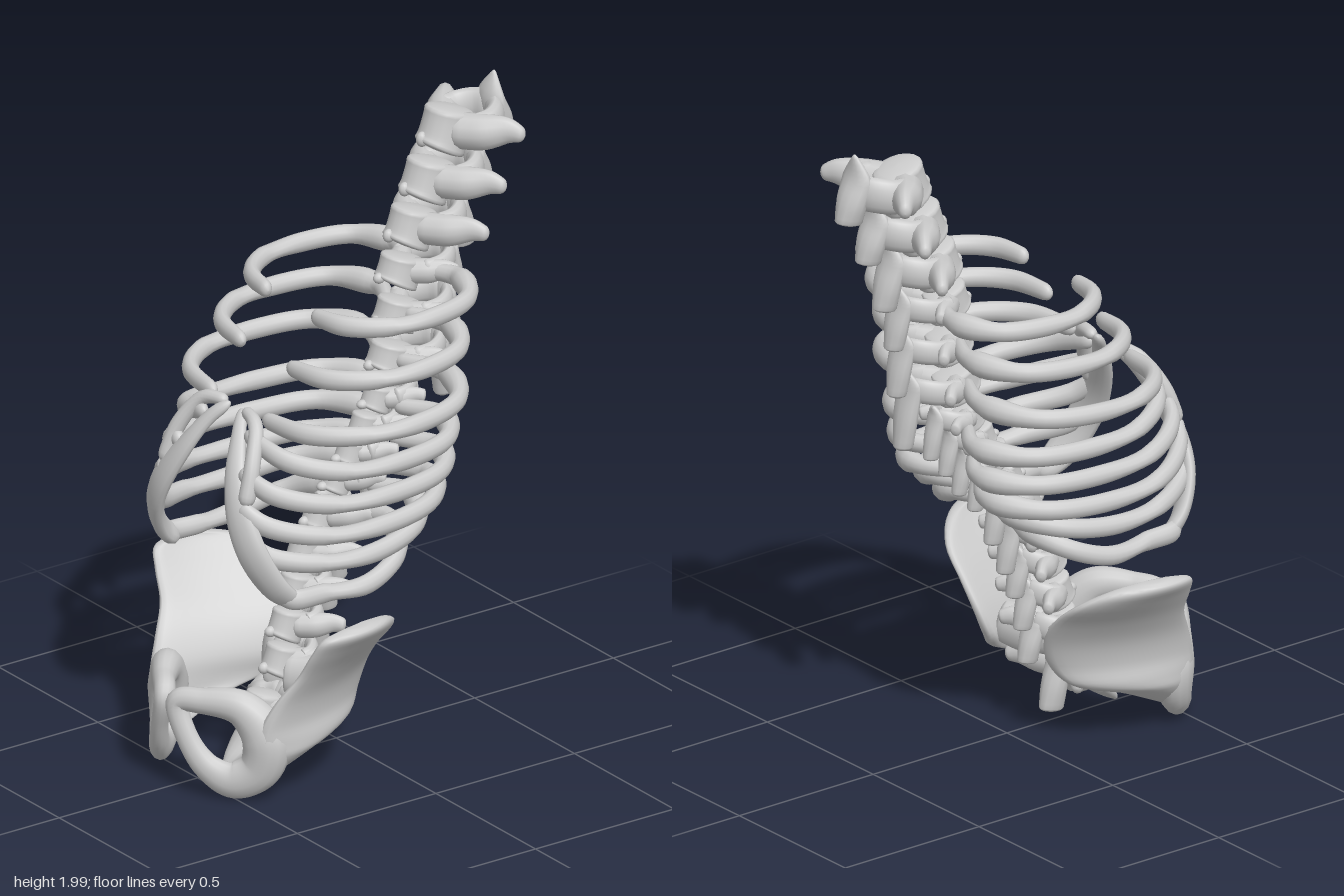
import * as THREE from 'three';

const V = (x, y, z) => new THREE.Vector3(x, y, z);
const UP = V(0, 1, 0), FRONT = V(0, 0, 1);
const bone = new THREE.MeshStandardMaterial({ color: 0xcccccc });
bone.name = 'bone grey';

// Skin a list of rings (equal point counts) and turn every face outwards
function skin(rings, closed = false) {
  const k = rings[0].length, n = rings.length, pos = [], idx = [];
  rings.forEach(r => r.forEach(p => pos.push(p.x, p.y, p.z)));
  for (let i = 0; i < (closed ? n : n - 1); i++) {
    for (let j = 0; j < k; j++) {
      const a = i * k + j, b = i * k + (j + 1) % k;
      const c = ((i + 1) % n) * k + j, d = ((i + 1) % n) * k + (j + 1) % k;
      idx.push(a, b, c, b, d, c);
    }
  }
  if (!closed) {
    for (const [start, flip] of [[0, true], [(n - 1) * k, false]]) {
      for (let j = 1; j < k - 1; j++) {
        idx.push(start, start + (flip ? j + 1 : j), start + (flip ? j : j + 1));
      }
    }
  }
  const at = i => V(pos[i * 3], pos[i * 3 + 1], pos[i * 3 + 2]);
  let volume = 0;
  for (let i = 0; i < idx.length; i += 3) volume += at(idx[i]).dot(at(idx[i + 1]).cross(at(idx[i + 2])));
  if (volume < 0) idx.reverse();
  const g = new THREE.BufferGeometry();
  g.setAttribute('position', new THREE.Float32BufferAttribute(pos, 3));
  g.setIndex(idx);
  g.computeVertexNormals();
  return g;
}

// Smooth limb through rows [x, y, z, sideways radius, radius towards "out"], with rounded ends
function limb(rows, { out = UP, closed = false, n = 24, k = 12, cap = 0.08 } = {}) {
  const path = new THREE.CatmullRomCurve3(rows.map(r => V(r[0], r[1], r[2])), closed);
  const size = new THREE.CatmullRomCurve3(rows.map(r => V(r[3], r[4] ?? r[3], 0)), closed);
  const steps = [];
  if (closed) for (let i = 0; i < n; i++) steps.push(i / n);
  else {
    const ends = [0.004, 0.1, 0.3, 0.6];
    ends.forEach(e => steps.push(e * cap));
    for (let i = 0; i <= n; i++) steps.push(cap + (1 - 2 * cap) * i / n);
    ends.reverse().forEach(e => steps.push(1 - e * cap));
  }
  return skin(steps.map(t => {
    const c = path.getPoint(t), dir = path.getTangent(t), s = size.getPoint(t);
    const side = dir.clone().cross(out).normalize(), up = side.clone().cross(dir).normalize();
    const e = closed ? 1 : Math.min(1, t / cap, (1 - t) / cap);
    const f = Math.sqrt(1 - (1 - e) ** 2);
    return Array.from({ length: k }, (_, j) => {
      const a = j / k * Math.PI * 2;
      return c.clone().addScaledVector(side, s.x * f * Math.cos(a)).addScaledVector(up, s.y * f * Math.sin(a));
    });
  }), closed);
}

function add(parent, name, geometry) {
  const m = new THREE.Mesh(geometry, bone);
  m.name = name;
  parent.add(m);
}
const mirror = (rows, s) => rows.map(([x, ...rest]) => [x * s, ...rest]);

// One vertebra: body, front knob, side wings, arch and rear spine
function vertebra([y, z, h, w, wing, top, bottom, back]) {
  const g = new THREE.Group(), k = h / 0.065, sweep = 0.5 + 0.5 * k;
  g.name = 'vertebra';
  g.position.set(0, y, z);
  const d = w * 1.12;
  add(g, 'vertebraBody', limb([
    [0, -h, 0.025 * k, w * 0.98, d], [0, -h * 0.5, 0.008 * k, w * 0.94, d * 0.94],
    [0, h * 0.4, -0.012 * k, w * 0.92, d * 0.92], [0, h, -0.024 * k, w * 0.95, d * 0.95],
  ], { out: FRONT, n: 10, k: 18, cap: 0.12 }));
  const knob = new THREE.SphereGeometry(0.02, 12, 8);
  knob.scale(0.8, 1.2 * k, 1).translate(0, -h * 0.25, d * 0.9 + 0.004);
  add(g, 'frontKnob', knob);
  for (const s of [1, -1]) {
    add(g, 'sideWing', limb(mirror([
      [w * 0.3, 0, -0.01, 0.055 * k, 0.056 * k], [wing * 0.5, 0.005 * k, -0.066 * sweep, 0.05 * k, 0.056 * k],
      [wing * 0.78, 0.016 * k, -0.115 * sweep, 0.03 * k, 0.042 * k], [wing, 0.005, -0.148 * sweep, 0.016, 0.02],
    ], s), { n: 14 }));
    // Arch from the wing root round the canal to the rear spine
    add(g, 'archSide', limb(mirror([
      [w * 1.1, 0.005, -0.05 * k, 0.035 * k, 0.055 * k], [w * 1.1, 0.01, back * 0.6, 0.03 * k, 0.055 * k],
      [w * 0.7, 0.018, back * 0.86, 0.028 * k, 0.056 * k], [0.006, 0.02, back, 0.028 * k, 0.058 * k],
    ], s), { n: 10 }));
  }
  const m = top * 0.42;
  add(g, 'rearSpine', limb([
    [0, top, back - 0.01, 0.004, 0.005], [0, m, back, w * 0.78, 0.03 * k],
    [0, (m + bottom) / 2, back - 0.02 * k, w * 0.7, 0.042 * k], [0, bottom, back - 0.034 * k, w * 0.42, 0.045 * k],
  ], { out: FRONT, n: 14, cap: 0.05 }));
  return g;
}

// Rib from the spine round to the front; y is given at the back, side and front
const COURSE = [[0, 0.1], [0.47, -0.01], [0.86, 0.11], [1, 0.41], [0.95, 0.73]];
function rib([yb, ym, yf, zb, zf, wide, xf], s) {
  const ys = [yb, yb, (yb + ym) / 2, ym, ym * 0.88 + yf * 0.12];
  const rows = COURSE.map(([u, v], i) => [Math.max(0.04, u * wide), ys[i], zb + v * (zf - zb), i ? 0.026 : 0.02, i ? 0.03 : 0.024]);
  rows.push([Math.max(wide * 0.7, xf + 0.03), ym * 0.5 + yf * 0.5, zb + 0.94 * (zf - zb), 0.025, 0.032]);
  rows.push([xf, yf, zf, 0.019, 0.026]);
  return limb(mirror(rows, s), { n: 40, cap: 0.03 });
}

// Flared hip blade from level sections: y, front x z, rear x z, half thickness
function hipBlade(s) {
  const rows = [
    [0.575, 0.425, 0.27, 0.41, 0.19, 0.014], [0.555, 0.425, 0.35, 0.375, 0.09, 0.028],
    [0.50, 0.395, 0.37, 0.30, 0.015, 0.03], [0.42, 0.35, 0.385, 0.21, 0.0, 0.029],
    [0.34, 0.31, 0.43, 0.16, 0.01, 0.034], [0.26, 0.285, 0.465, 0.15, 0.04, 0.042],
    [0.20, 0.275, 0.475, 0.18, 0.09, 0.046], [0.15, 0.262, 0.475, 0.21, 0.24, 0.042], [0.08, 0.235, 0.47, 0.215, 0.39, 0.02],
  ];
  const front = new THREE.CatmullRomCurve3(rows.map(r => V(r[1], r[0], r[2])));
  const rear = new THREE.CatmullRomCurve3(rows.map(r => V(r[3], r[0], r[4])));
  const thick = new THREE.CatmullRomCurve3(rows.map(r => V(r[5], r[0], 0)));
  const rings = [];
  for (let i = 0; i <= 36; i++) {
    const a = front.getPoint(i / 36), b = rear.getPoint(i / 36), t = thick.getPoint(i / 36).x;
    const mid = a.clone().add(b).multiplyScalar(0.5), half = a.clone().sub(b).multiplyScalar(0.5);
    const n = V(half.z, 0, -half.x).normalize();
    rings.push(Array.from({ length: 28 }, (_, j) => {
      const q = j / 28 * Math.PI * 2, c = Math.cos(q), sn = Math.sin(q);
      const bow = 0.03 * (1 - c * c) * Math.min(1, half.length() / 0.15);
      const p = mid.clone().addScaledVector(half, c)
        .addScaledVector(n, bow + t * Math.sign(sn) * Math.abs(sn) ** 0.7);
      p.x *= s;
      return p;
    }));
  }
  return skin(rings);
}

export function createModel() {
  const model = new THREE.Group();
  model.name = 'torsoSkeleton';

  // Spine: y, z, half height, half width, wing reach, spine top, spine bottom, spine depth
  const spine = new THREE.Group();
  spine.name = 'spine';
  [
    [1.86, -0.39, 0.065, 0.075, 0.2, 0.14, -0.08, -0.17],
    [1.715, -0.325, 0.06, 0.073, 0.205, 0.125, -0.08, -0.165],
    [1.58, -0.265, 0.057, 0.07, 0.205, 0.11, -0.11, -0.165],
    [1.45, -0.225, 0.045, 0.065, 0.13, 0.09, -0.115, -0.175],
    [1.315, -0.215, 0.045, 0.065, 0.13, 0.09, -0.13, -0.175],
    [1.18, -0.19, 0.045, 0.065, 0.13, 0.08, -0.17, -0.175],
    [1.06, -0.145, 0.038, 0.045, 0.085, 0.06, -0.11, -0.12],
    [0.985, -0.1, 0.036, 0.044, 0.085, 0.055, -0.1, -0.11],
    [0.91, -0.05, 0.036, 0.044, 0.085, 0.055, -0.1, -0.11],
    [0.835, 0.0, 0.038, 0.044, 0.09, 0.055, -0.09, -0.1],
    [0.74, 0.06, 0.045, 0.05, 0.12, 0.065, -0.12, -0.09],
    [0.635, 0.115, 0.043, 0.052, 0.125, 0.06, -0.12, -0.1],
    [0.53, 0.15, 0.043, 0.052, 0.125, 0.06, -0.1, -0.1],
    [0.42, 0.18, 0.045, 0.052, 0.125, 0.06, -0.1, -0.1],
    [0.31, 0.2, 0.048, 0.055, 0.13, 0.06, -0.1, -0.1],
    [0.165, 0.27, 0.06, 0.06, 0.17, 0.08, -0.13, -0.075],
  ].forEach(v => spine.add(vertebra(v)));
  add(spine, 'tailBone', limb([
    [0, 0.14, 0.28, 0.05, 0.04], [0, 0.085, 0.33, 0.05, 0.03], [0, 0.045, 0.375, 0.03, 0.02], [0, 0.012, 0.41, 0.006, 0.006],
  ], { out: FRONT, n: 10 }));
  model.add(spine);

  // Ribs: y back, y side, y front, z back, z front, width, front x
  const ribs = [
    [1.455, 1.445, 1.44, -0.32, 0.165, 0.335, 0.11], [1.325, 1.31, 1.3, -0.27, 0.255, 0.375, 0.11],
    [1.185, 1.165, 1.16, -0.245, 0.35, 0.42, 0.12],
    [1.04, 1.03, 1.12, -0.245, 0.4, 0.365, 0.1], [0.945, 0.935, 1.03, -0.23, 0.455, 0.365, 0.15],
    [0.865, 0.84, 0.94, -0.2, 0.485, 0.36, 0.19], [0.815, 0.755, 0.83, -0.14, 0.475, 0.35, 0.235],
    [0.75, 0.65, 0.66, -0.07, 0.4, 0.33, 0.28],
  ];
  const cage = new THREE.Group();
  cage.name = 'ribCage';
  for (const s of [1, -1]) {
    ribs.forEach(r => add(cage, 'rib', rib(r, s)));
    // Broad band joining the front ends of the lower ribs
    add(cage, 'ribArch', limb(mirror([
      [0.03, 1.165, 0.36, 0.018, 0.016], [0.075, 1.11, 0.405, 0.024, 0.018], [0.135, 1.0, 0.46, 0.038, 0.022],
      [0.2, 0.89, 0.485, 0.052, 0.024], [0.25, 0.79, 0.473, 0.055, 0.024], [0.287, 0.69, 0.42, 0.048, 0.024],
      [0.302, 0.635, 0.355, 0.03, 0.022],
    ], s), { out: V(0.4 * s, 0, 1), n: 30 }));
    // Second strand, leaving a slot near the top
    add(cage, 'ribArchStrand', limb(mirror([
      [0.045, 1.165, 0.36, 0.018], [0.13, 1.15, 0.385, 0.022], [0.185, 1.06, 0.435, 0.024], [0.205, 0.94, 0.475, 0.026],
    ], s), { out: V(0.4 * s, 0, 1), n: 20 }));
  }
  model.add(cage);

  // Pelvis: blade, ring with its opening, and the joint to the spine
  const pelvis = new THREE.Group();
  pelvis.name = 'pelvis';
  for (const s of [1, -1]) {
    add(pelvis, 'hipBlade', hipBlade(s));
    add(pelvis, 'hipRing', limb(mirror([
      [0.034, 0.29, 0.594, 0.036, 0.032], [0.1, 0.302, 0.55, 0.04, 0.034], [0.19, 0.29, 0.475, 0.056, 0.048],
      [0.245, 0.2, 0.43, 0.072, 0.06], [0.232, 0.105, 0.445, 0.064, 0.05], [0.18, 0.065, 0.5, 0.057, 0.038],
      [0.12, 0.1, 0.552, 0.042, 0.03], [0.066, 0.19, 0.588, 0.034, 0.026],
    ], s), { out: V(s, 0, 1), closed: true, n: 64, k: 14 }));
    add(pelvis, 'spineJoint', limb(mirror([
      [0.02, 0.27, 0.2, 0.045, 0.07], [0.09, 0.27, 0.15, 0.045, 0.075], [0.17, 0.29, 0.1, 0.035, 0.065],
    ], s), { n: 10 }));
  }
  model.add(pelvis);
  return model;
}
